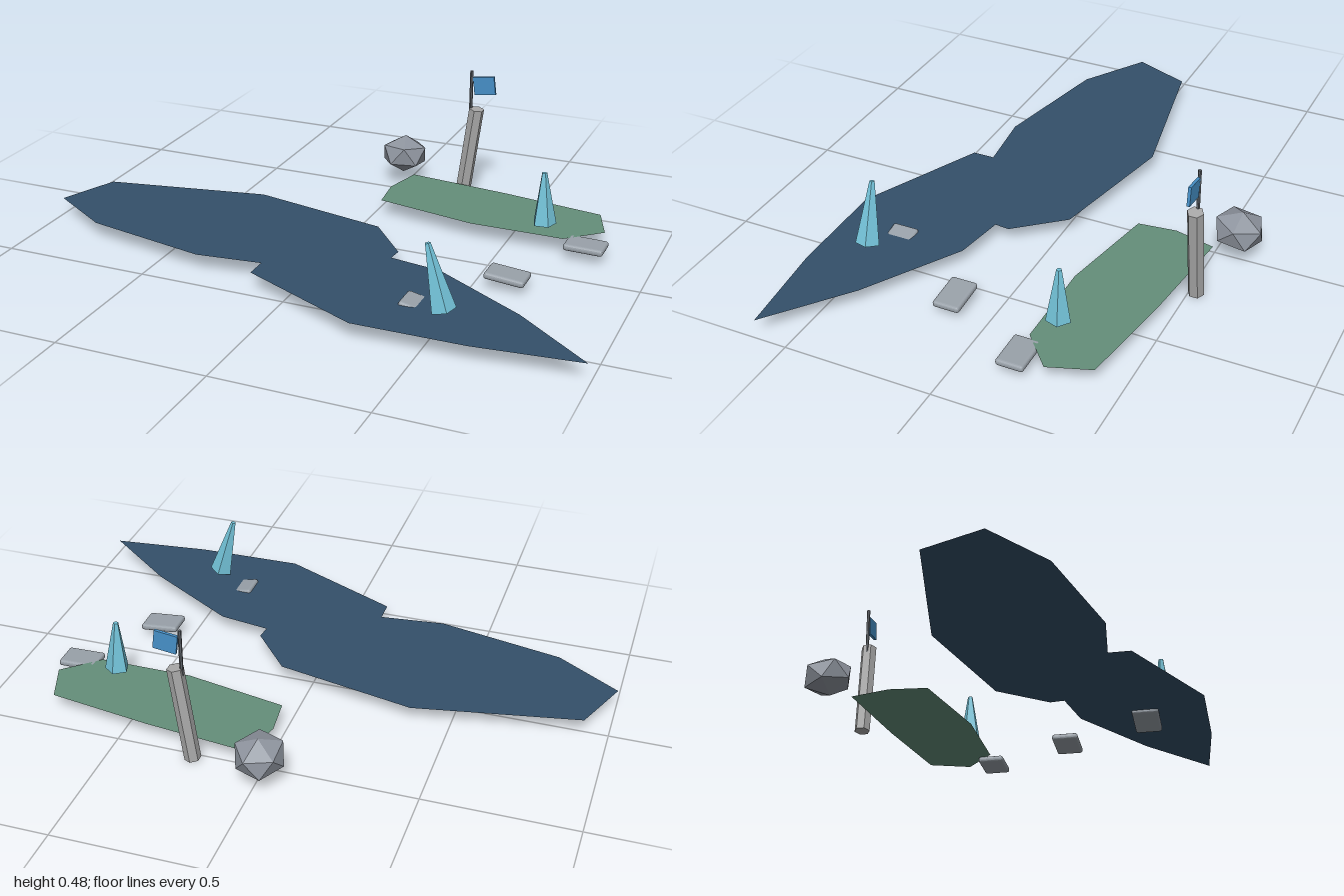
import * as THREE from 'three';
import { RoundedBoxGeometry } from 'three/addons/geometries/RoundedBoxGeometry.js';

export function createModel() {
  const model = new THREE.Group();
  const material = (name, color) => {
    const m = new THREE.MeshStandardMaterial({ color });
    m.name = name;
    return m;
  };
  const water = material('deep water', 0x34506a);
  const moss = material('moss green', 0x648f7a);
  const crystal = material('crystal cyan', 0x74c4da);
  const rockGrey = material('rock grey', 0x8f959f);
  const slabGrey = material('slab grey', 0x99a1a9);
  const postGrey = material('weathered post', 0xa9a9a9);
  const poleGrey = material('dark pole', 0x5c6167);
  const flagBlue = material('flag blue', 0x4690c8);
  for (const m of [water, moss]) m.side = THREE.DoubleSide;
  for (const m of [crystal, rockGrey, slabGrey, postGrey, poleGrey, flagBlue]) m.flatShading = true;

  const add = (name, geometry, mat, position, rotation = [0, 0, 0]) => {
    const mesh = new THREE.Mesh(geometry, mat);
    mesh.name = name;
    mesh.position.set(...position);
    mesh.rotation.set(...rotation);
    model.add(mesh);
    return mesh;
  };

  // Flat ground patches, outlined by [x, z] points
  const patch = (name, mat, outline) => {
    const shape = new THREE.Shape(outline.map(([x, z]) => new THREE.Vector2(x, -z)));
    add(name, new THREE.ShapeGeometry(shape).rotateX(-Math.PI / 2), mat, [0, 0.061, 0]);
  };
  patch('waterPatch', water, [
    [-1, 0.18], [-0.78, 0.32], [-0.35, 0.41], [-0.13, 0.385], [-0.13, 0.46],
    [0.285, 0.652], [0.65, 0.648], [0.99, 0.612], [0.73, 0.405], [0.41, 0.213],
    [0.235, 0.185], [0.24, 0.135], [0.105, -0.025], [-0.37, -0.125], [-0.92, -0.02],
  ]);
  patch('mossPatch', moss, [
    [0.05, -0.51], [0.015, -0.37], [0.03, -0.24], [0.38, -0.172],
    [0.7, -0.172], [0.815, -0.275], [0.765, -0.415], [0.41, -0.47],
  ]);

  // Five-sided crystal spires
  const spire = (height) => new THREE.CylinderGeometry(0.009, 0.041, height, 5).rotateY(Math.PI);
  add('leaningSpire', spire(0.213), crystal, [0.495, 0.183, 0.497], [0, 0, 0.25]);
  add('uprightSpire', spire(0.18), crystal, [0.615, 0.17, -0.229], [0, 0, 0.04]);

  // Bevelled stepping slabs
  const slab = new RoundedBoxGeometry(0.133, 0.022, 0.092, 2, 0.009);
  [[0.438, 0.048, 0.441, -0.21], [0.606, 0.046, 0.133, -0.09], [0.777, 0.049, -0.174, -0.02]]
    .forEach(([x, y, z, tilt], i) => add(`steppingSlab${i + 1}`, slab, slabGrey, [x, y, z], [0, 0, tilt]));

  // Squashed boulder with a corner pointing up
  const boulder = new THREE.IcosahedronGeometry(1, 0)
    .rotateZ(-Math.atan(2 / (1 + Math.sqrt(5))))
    .scale(0.087, 0.068, 0.091);
  add('boulder', boulder, rockGrey, [-0.012, 0.112, -0.575], [-0.15, 0, 0]);

  // Leaning six-sided post with its flag
  add('post', new THREE.CylinderGeometry(0.027, 0.027, 0.337, 6), postGrey, [0.253, 0.173, -0.524], [0, 0, -0.13]);
  add('flagPole', new THREE.CylinderGeometry(0.006, 0.006, 0.17, 6), poleGrey, [0.253, 0.393, -0.524]);
  add('flag', new THREE.BoxGeometry(0.077, 0.064, 0.01), flagBlue, [0.301, 0.429, -0.524], [0, 0, 0.13]);

  return model;
}
